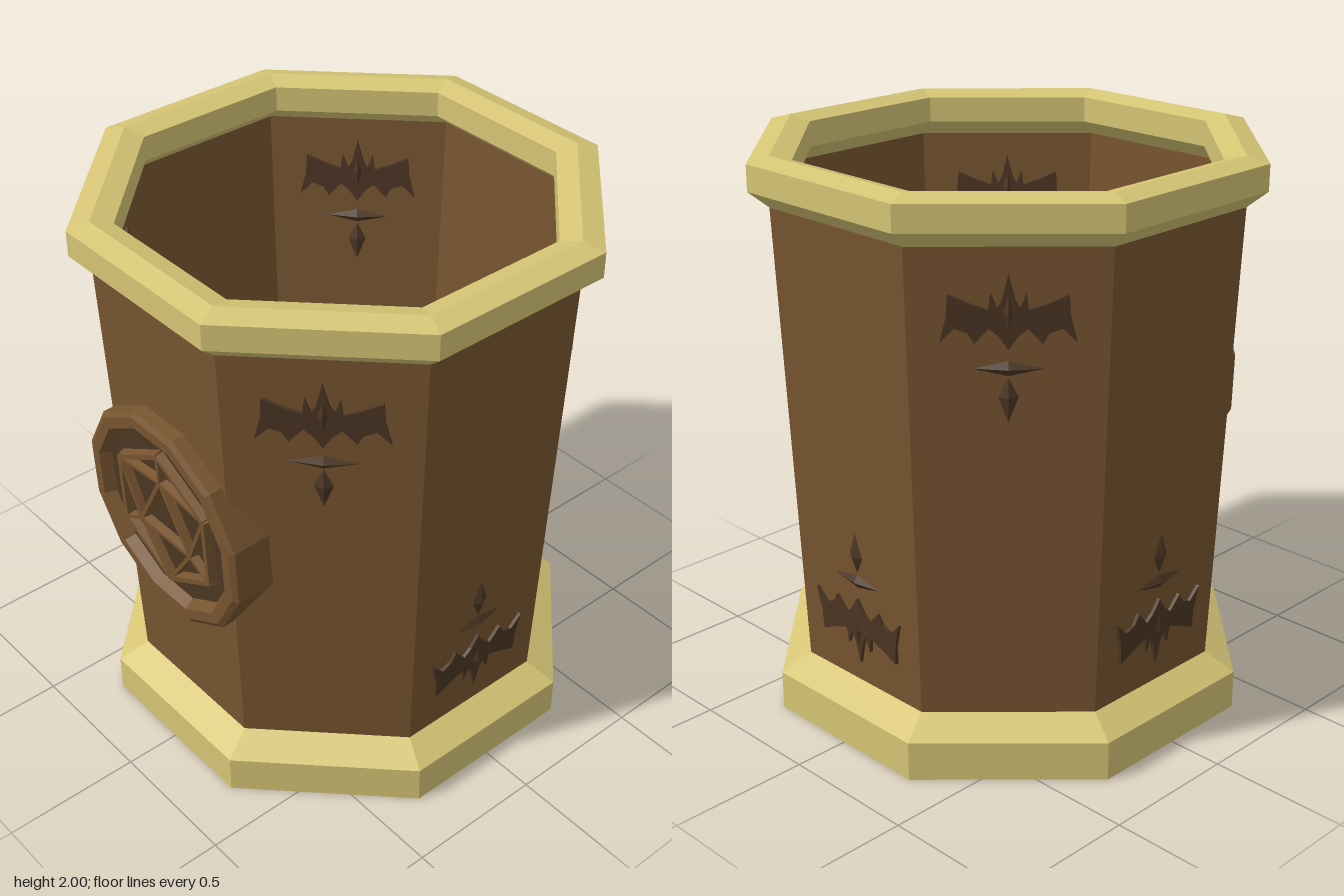
import * as THREE from 'three';

const material = (name, color, side = THREE.FrontSide) =>
  new THREE.MeshStandardMaterial({ name, color, side, flatShading: true });

const TILT = Math.atan(0.065 / 1.63);
// distance from the axis to a flat of the wall at height y
const wallAt = (y) => 0.7 + (0.065 * (y - 0.2)) / 1.63;

// lathe with flat sides; the profile gives distances to the flats
function prism(profile, sides) {
  const k = 1 / Math.cos(Math.PI / sides);
  const points = profile.map(([r, y]) => new THREE.Vector2(r * k, y));
  return new THREE.LatheGeometry(points, sides, Math.PI / sides, Math.PI * 2);
}

function add(parent, name, geometry, mat) {
  const mesh = new THREE.Mesh(geometry, mat);
  mesh.name = name;
  parent.add(mesh);
  return mesh;
}

// group lying on a wall panel, its z axis pointing out of the wall
function onWall(name, angle, y, flipped = false) {
  const group = new THREE.Group();
  group.name = name;
  const d = wallAt(y);
  group.rotation.order = 'YXZ';
  group.rotation.set(TILT, angle, flipped ? Math.PI : 0);
  group.position.set(d * Math.sin(angle), y, d * Math.cos(angle));
  return group;
}

// winged ornament with two diamonds beneath it
function makeOrnament(name, angle, y, flipped, mat) {
  const group = onWall(name, angle, y, flipped);
  const half = [
    [0, 0.25], [0.018, 0.17], [0.035, 0.14], [0.055, 0.19], [0.062, 0.135],
    [0.12, 0.155], [0.185, 0.185], [0.19, 0.11], [0.21, 0.03], [0.165, 0.075],
    [0.125, 0.06], [0.105, 0.025], [0.06, 0.075], [0.03, 0.05], [0, 0.005],
  ];
  const mirrored = half.slice(1, -1).reverse().map(([x, v]) => [-x, v]);
  const shape = new THREE.Shape([...half, ...mirrored].map(([x, v]) => new THREE.Vector2(x, v)));
  const wings = new THREE.ExtrudeGeometry(shape, { depth: 0.024, bevelEnabled: false });
  wings.translate(0, 0, -0.012);
  add(group, 'wings', wings, mat);

  const diamond = (part, v, w, h, depth) => {
    const geometry = new THREE.OctahedronGeometry(1);
    geometry.scale(w, h, depth);
    geometry.translate(0, v, 0);
    return add(group, part, geometry, mat);
  };
  diamond('ornamentBody', 0.125, 0.032, 0.12, 0.024);
  diamond('wideDiamond', -0.06, 0.112, 0.025, 0.018);
  const drop = diamond('dropDiamond', -0.165, 0.032, 0.075, 0.018);
  // widest point sits above the middle
  const p = drop.geometry.attributes.position;
  for (let i = 0; i < p.count; i++) if (Math.abs(p.getY(i) + 0.165) < 0.01) p.setY(i, -0.155);
  return group;
}

// round plaque with a faceted die drawn in raised bars
function makeEmblem(brown, dark) {
  const y0 = 1.015;
  const group = onWall('emblem', 0, y0);

  const frame = prism(
    [[0.395, -0.1], [0.395, 0.047], [0.376, 0.06], [0.338, 0.06], [0.315, 0.02]], 12);
  frame.rotateX(Math.PI / 2);
  // the back edge follows the three wall panels behind it
  const p = frame.attributes.position;
  for (let i = 0; i < p.count; i++) {
    if (p.getZ(i) > -0.05) continue;
    const a = wallAt(y0 + p.getY(i));
    p.setZ(i, Math.min(0, a * (Math.SQRT2 - 1) - Math.abs(p.getX(i))) - 0.015);
  }
  add(group, 'emblemFrame', frame, brown);

  const disc = new THREE.CircleGeometry(0.33, 12, Math.PI / 12);
  disc.translate(0, 0, 0.022);
  add(group, 'emblemRecess', disc, dark);

  const ring = (r, n, start) => Array.from({ length: n }, (_, i) => {
    const t = start + (i * Math.PI * 2) / n;
    return new THREE.Vector2(r * Math.cos(t), r * Math.sin(t));
  });
  const hex = ring(0.265, 6, Math.PI / 2);
  const tri = ring(0.155, 3, Math.PI / 2);
  const bar = (a, b, width) => {
    const d = b.clone().sub(a);
    const w = width / 2;
    const section = new THREE.Shape([[-w, 0.015], [w, 0.015], [w * 0.5, 0.05], [-w * 0.5, 0.05]]
      .map(([x, z]) => new THREE.Vector2(x, z)));
    const geometry = new THREE.ExtrudeGeometry(section, { depth: d.length(), bevelEnabled: false });
    // section height to +z, length along the bar
    geometry.rotateX(Math.PI / 2);
    geometry.translate(0, d.length(), 0);
    geometry.rotateZ(Math.atan2(d.y, d.x) - Math.PI / 2);
    geometry.translate(a.x, a.y, 0);
    add(group, 'dieBar', geometry, brown);
  };
  hex.forEach((v, i) => bar(v, hex[(i + 1) % 6], 0.036));
  tri.forEach((v, i) => {
    bar(v, tri[(i + 1) % 3], 0.03);
    for (const k of [-1, 0, 1]) bar(v, hex[(2 * i + k + 6) % 6], 0.026);
  });
  return group;
}

export function createModel() {
  const model = new THREE.Group();
  model.name = 'octagonalCup';
  const brown = material('brownWood', 0x785530);
  const wallBrown = material('brownWall', 0x785530, THREE.DoubleSide);
  const dark = material('darkWood', 0x4c3624);
  const gold = material('paleGold', 0xd6c575);

  // thin wall, floor and underside
  add(model, 'wall', prism([[wallAt(0.19), 0.19], [wallAt(1.84), 1.84]], 8), wallBrown);
  add(model, 'floor', prism([[0.7, 0.2], [0, 0.2]], 8), wallBrown);
  add(model, 'underside', prism([[0, 0], [0.8, 0]], 8), wallBrown);

  // base and rim bands
  add(model, 'baseBand', prism([[0.8, 0], [0.8, 0.14], [0.7, 0.2]], 8), gold);
  add(model, 'rimBand', prism([
    [0.763, 1.83], [0.83, 1.89], [0.83, 1.98], [0.76, 2],
    [0.69, 1.98], [0.69, 1.89], [0.763, 1.83],
  ], 8), gold);

  // upright ornaments on the diagonal panels, inverted ones on sides and back
  for (let i = 1; i < 8; i++) {
    const upper = i % 2 === 1;
    model.add(makeOrnament(upper ? 'upperOrnament' : 'lowerOrnament',
      (i * Math.PI) / 4, upper ? 1.5 : 0.53, !upper, dark));
  }
  model.add(makeEmblem(brown, dark));
  return model;
}
